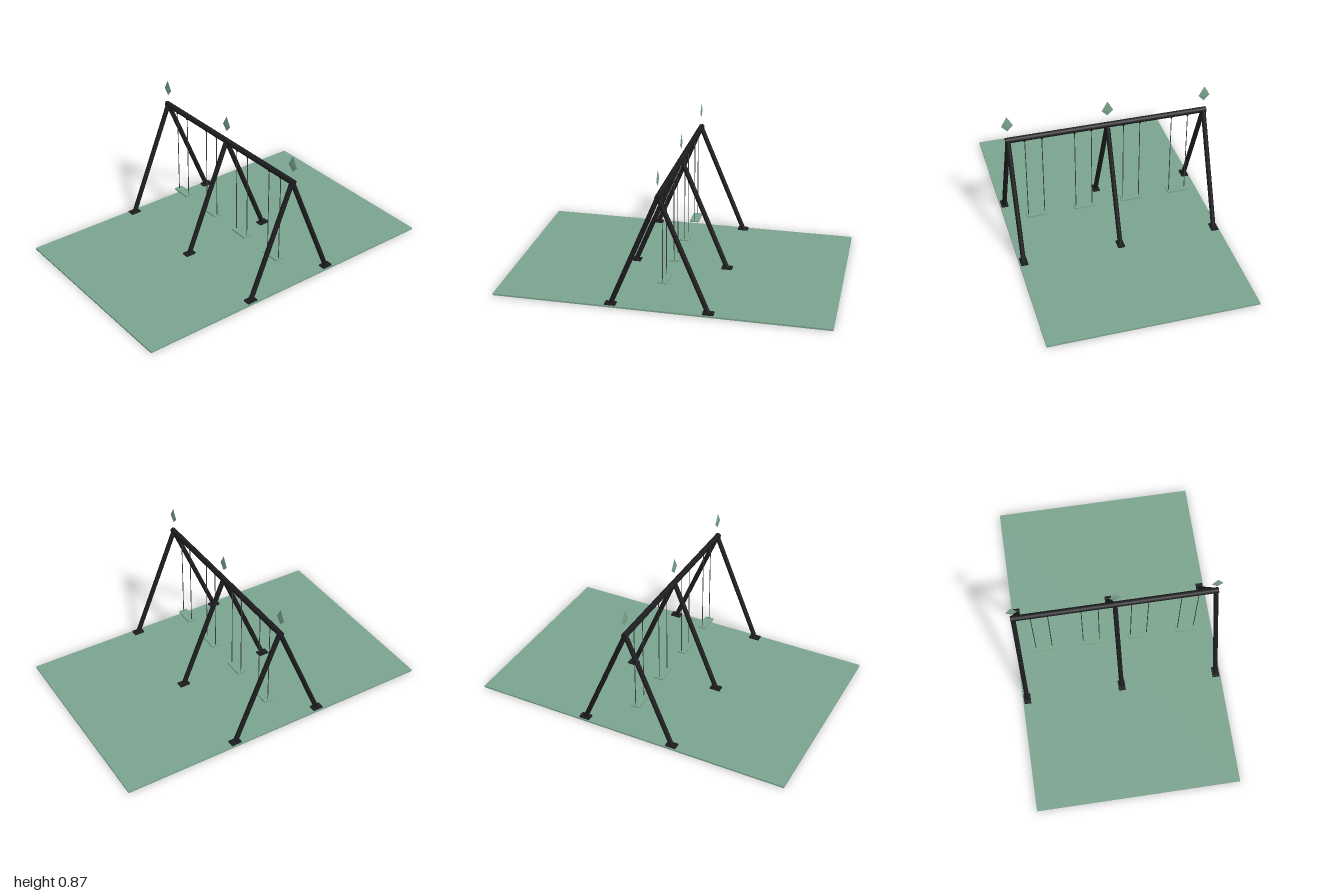
import * as THREE from 'three';

export function createModel() {
  const model = new THREE.Group();
  model.name = 'swingSet';
  const mat = (name, color, extra = {}) => {
    const m = new THREE.MeshStandardMaterial({ color, ...extra });
    m.name = name;
    return m;
  };
  const green = mat('sageGreen', 0x7aa38e, { flatShading: true });
  const black = mat('blackSteel', 0x1c1c1e);
  const grey = mat('ropeGrey', 0x3a3f47);

  const add = (name, geometry, material, x = 0, y = 0, z = 0) => {
    const mesh = new THREE.Mesh(geometry, material);
    mesh.name = name;
    mesh.position.set(x, y, z);
    model.add(mesh);
    return mesh;
  };
  // Round bar between two points
  const bar = (name, a, b, radius, material, sides = 16) => {
    const dir = b.clone().sub(a);
    const mesh = add(name, new THREE.CylinderGeometry(radius, radius, dir.length(), sides), material);
    mesh.position.copy(a).add(b).multiplyScalar(0.5);
    mesh.quaternion.setFromUnitVectors(new THREE.Vector3(0, 1, 0), dir.normalize());
  };
  const v = (x, y, z) => new THREE.Vector3(x, y, z);

  // Ground mat and top beam
  add('groundMat', new THREE.BoxGeometry(2, 0.01, 1.256), green, 0, 0.005, 0);
  bar('topBeam', v(0, 0.702, -0.615), v(0, 0.702, 0.615), 0.0175, black);

  // Thin diamond: an octahedron with its widest line below the middle
  const diamond = new THREE.OctahedronGeometry(1, 0);
  const p = diamond.attributes.position;
  for (let i = 0; i < p.count; i++) {
    const y = p.getY(i);
    p.setXYZ(i, p.getX(i) * 0.004, y * (y > 0 ? 0.062 : 0.037), p.getZ(i) * 0.035);
  }
  diamond.computeVertexNormals();

  // Three A-frames with foot plates and floating diamonds
  for (const z of [-0.6, 0, 0.6]) {
    for (const side of [-1, 1]) {
      bar('leg', v(0, 0.702, z), v(side * 0.288, 0.012, z), 0.0145, black);
      add('footPlate', new THREE.BoxGeometry(0.065, 0.009, 0.043), black, side * 0.288, 0.0145, z);
    }
    add('diamond', diamond, green, 0, 0.804, z);
  }

  // Seat outline with rounded corners
  const w = 0.028, l = 0.064, r = 0.008;
  const outline = new THREE.Shape();
  outline.moveTo(-w + r, -l);
  outline.lineTo(w - r, -l);
  outline.quadraticCurveTo(w, -l, w, -l + r);
  outline.lineTo(w, l - r);
  outline.quadraticCurveTo(w, l, w - r, l);
  outline.lineTo(-w + r, l);
  outline.quadraticCurveTo(-w, l, -w, l - r);
  outline.lineTo(-w, -l + r);
  outline.quadraticCurveTo(-w, -l, -w + r, -l);
  const seat = new THREE.ExtrudeGeometry(outline, { depth: 0.009, bevelEnabled: false, curveSegments: 4 });
  seat.rotateX(-Math.PI / 2);

  // Four swings, each on two ropes with hangers
  for (const z of [-0.45, -0.15, 0.15, 0.45]) {
    add('seat', seat, green, 0, 0.126, z);
    for (const dz of [-0.051, 0.051]) {
      bar('rope', v(0, 0.13, z + dz), v(0, 0.69, z + dz), 0.0025, grey, 8);
      add('hanger', new THREE.CylinderGeometry(0.006, 0.006, 0.018, 12), black, 0, 0.685, z + dz);
    }
  }
  return model;
}
